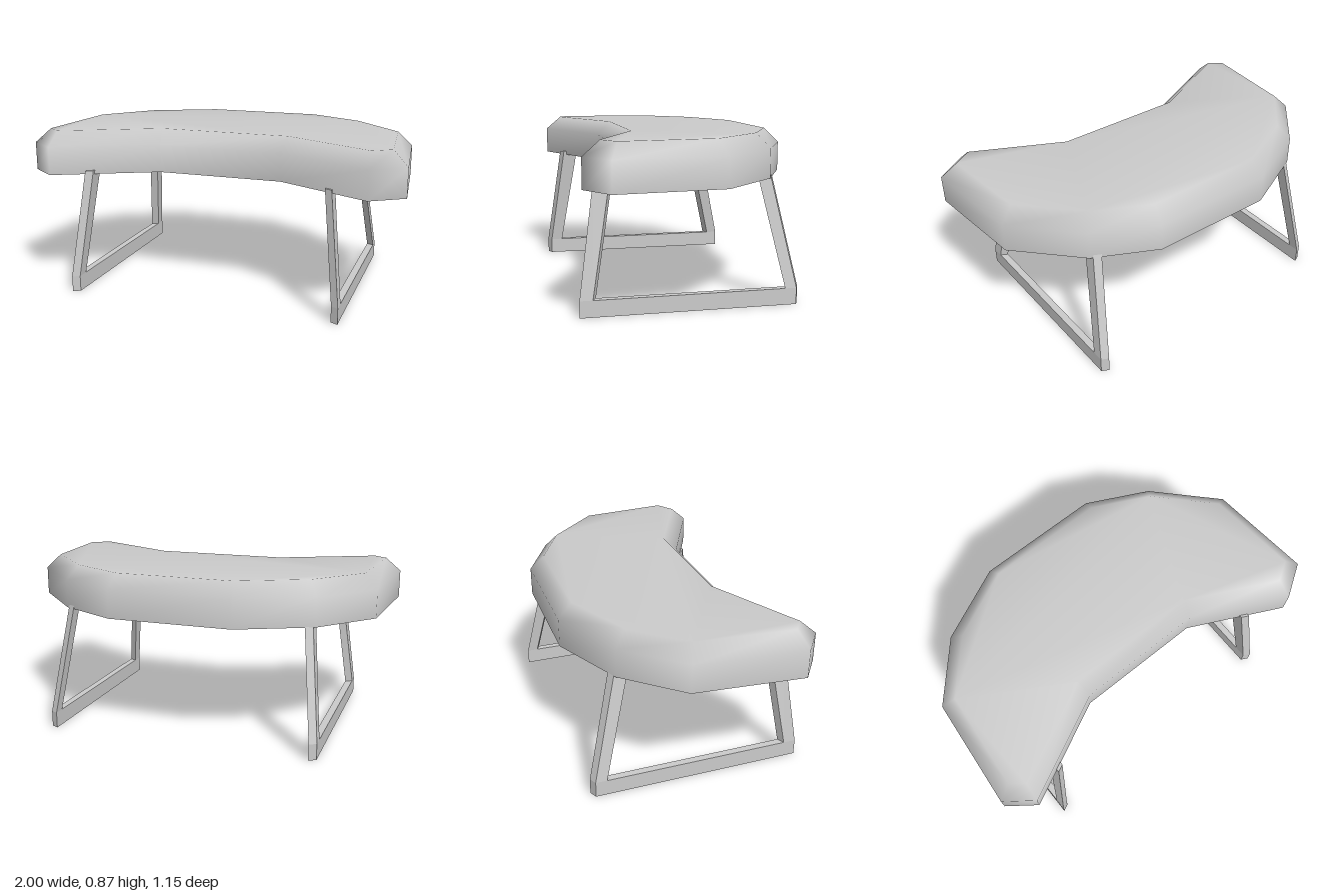
import * as THREE from 'three';
import { mergeGeometries } from 'three/addons/utils/BufferGeometryUtils.js';

const material = new THREE.MeshStandardMaterial({ color: 0xcccccc });

// Seat outline as [x, z], counterclockwise from above
const OUTLINE = [
  [-0.86, 0.555], [-0.33, 0.30], [0.34, 0.30], [0.83, 0.54], [1.0, 0.43], [0.95, -0.12],
  [0.66, -0.42], [0.34, -0.578], [-0.32, -0.578], [-0.70, -0.40], [-0.95, -0.12], [-1.0, 0.45],
];

// Move every edge of a counterclockwise outline inwards by the same distance
function inset(points, distance) {
  const n = points.length;
  const normal = (a, b) => {
    const d = b.clone().sub(a).normalize();
    return new THREE.Vector2(-d.y, d.x);
  };
  return points.map((p, i) => {
    const n1 = normal(points[(i + n - 1) % n], p);
    const n2 = normal(p, points[(i + 1) % n]);
    const scale = distance / (1 + n1.dot(n2));
    return p.clone().addScaledVector(n1.add(n2), scale);
  });
}

// Curved cushion: straight wall, bevel and flat top with smooth normals, crisp underside
function createSeat() {
  const outer = OUTLINE.map(([x, z]) => new THREE.Vector2(x, -z));
  const n = outer.length;
  const rings = [[outer, 0.64], [outer, 0.79], [inset(outer, 0.075), 0.865], [outer, 0.64]];
  const positions = [];
  for (const [ring, y] of rings) for (const p of ring) positions.push(p.x, y, -p.y);

  const index = [];
  for (let r = 0; r < 2; r++) {
    for (let i = 0; i < n; i++) {
      const a = r * n + i;
      const b = r * n + (i + 1) % n;
      index.push(a, b, b + n, a, b + n, a + n);
    }
  }
  for (const [a, b, c] of THREE.ShapeUtils.triangulateShape(rings[2][0], [])) {
    index.push(2 * n + a, 2 * n + b, 2 * n + c);
  }
  for (const [a, b, c] of THREE.ShapeUtils.triangulateShape(outer, [])) {
    index.push(3 * n + a, 3 * n + c, 3 * n + b);
  }

  const geometry = new THREE.BufferGeometry();
  geometry.setAttribute('position', new THREE.Float32BufferAttribute(positions, 3));
  geometry.setIndex(index);
  geometry.computeVertexNormals();
  const seat = new THREE.Mesh(geometry, material);
  seat.name = 'seat';
  return seat;
}

// Leg frame bars as [z, y] quads: floor rail, front post, back post
const BARS = [
  [[0.545, 0], [0.545, 0.085], [-0.555, 0.085], [-0.555, 0]],
  [[0.545, 0.085], [0.463, 0.66], [0.383, 0.66], [0.48, 0.085]],
  [[-0.495, 0.085], [-0.36, 0.66], [-0.427, 0.66], [-0.555, 0.085]],
];
const DEPTH = 0.038;

// Side frame whose posts lean inwards above the rail
function createLegFrame(side, xStart, zOffset, name) {
  const bars = BARS.map((quad) => {
    const shape = new THREE.Shape(quad.map(([z, y]) => new THREE.Vector2(-z, y)));
    return new THREE.ExtrudeGeometry(shape, { depth: DEPTH, bevelEnabled: false }).rotateY(Math.PI / 2);
  });
  const geometry = mergeGeometries(bars);
  const pos = geometry.attributes.position;
  for (let i = 0; i < pos.count; i++) {
    const x = pos.getX(i);
    const fromOuter = side > 0 ? DEPTH - x : x;
    const lean = Math.max(0, pos.getY(i) - 0.085) * 0.115;
    pos.setX(i, xStart + x - side * lean);
    pos.setZ(i, pos.getZ(i) + zOffset - fromOuter * 0.5);
  }
  geometry.computeVertexNormals();
  const frame = new THREE.Mesh(geometry, material);
  frame.name = name;
  return frame;
}

export function createModel() {
  const bench = new THREE.Group();
  bench.name = 'curvedBench';
  bench.add(
    createSeat(),
    createLegFrame(1, 0.672, 0, 'leftLegFrame'),
    createLegFrame(-1, -0.75, 0.025, 'rightLegFrame'),
  );
  return bench;
}
